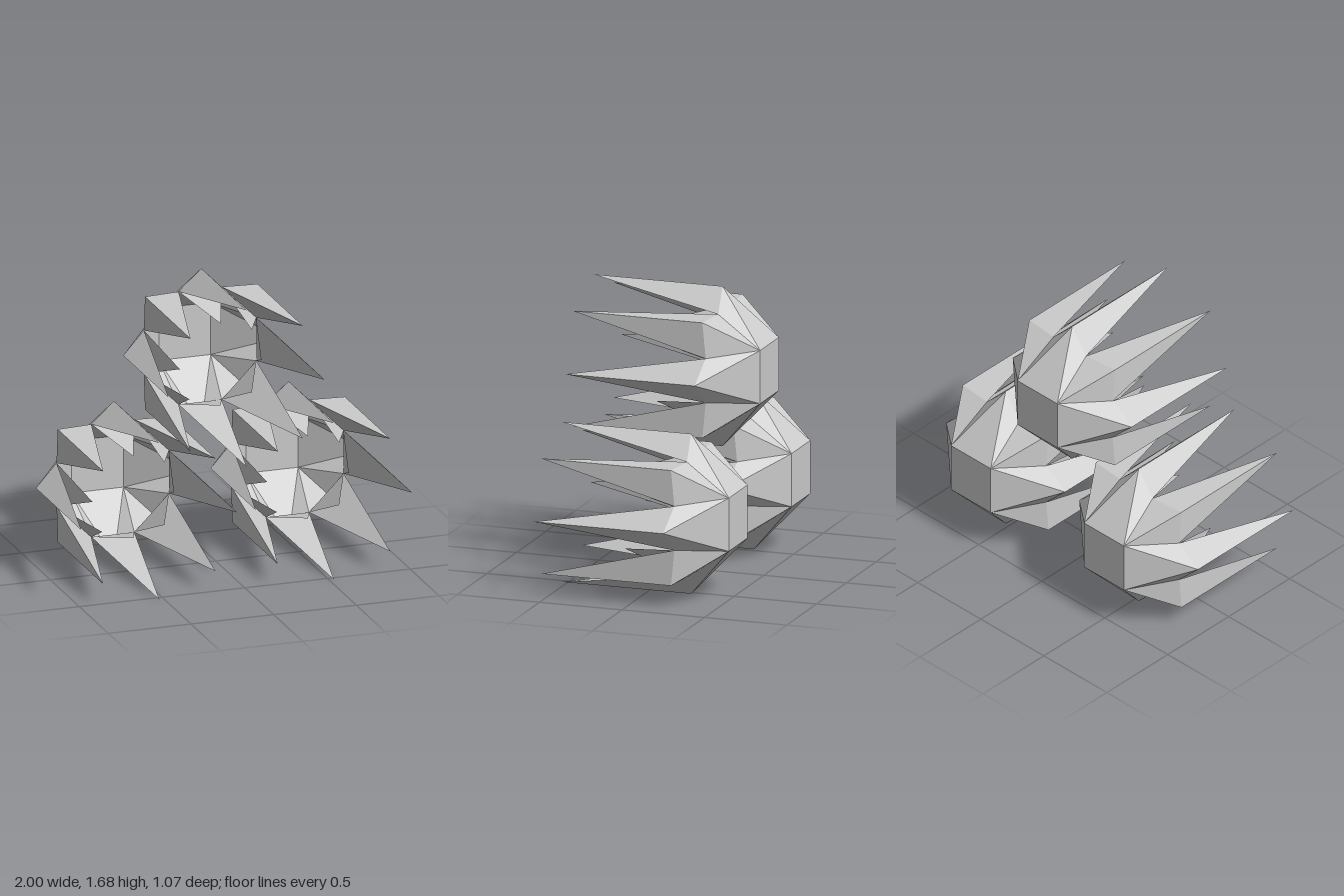
import * as THREE from 'three';

const material = new THREE.MeshStandardMaterial({ color: 0xcccccc, flatShading: true, side: THREE.DoubleSide });

// Key points of one quarter of a spiky cup that opens toward +z
const P = {
  baseL: [-0.157, 0.157, -0.535], baseR: [0.157, 0.157, -0.535],
  valleyL: [-0.13, 0.34, -0.27], valleyR: [0.13, 0.34, -0.27], valleyN: [0.34, 0.13, -0.27],
  ridge: [0, 0.472, -0.25], ridgeTip: [0, 0.472, 0.535],
  corner: [0.34, 0.34, -0.25], cornerTip: [0.34, 0.34, 0.535],
  innerTip: [0, 0.247, 0.085], innerCornerTip: [0.188, 0.188, 0.085],
};

const SHELL = [
  ['baseR', 'baseL', 'ridge'], ['baseR', 'ridge', 'valleyR'], ['baseL', 'valleyL', 'ridge'],
  ['baseR', 'valleyR', 'corner'], ['baseR', 'corner', 'valleyN'],
];
const OUTER_SPIKES = [
  ['ridge', 'ridgeTip', 'valleyR'], ['ridge', 'valleyL', 'ridgeTip'], ['ridgeTip', 'valleyL', 'valleyR'],
  ['corner', 'valleyR', 'cornerTip'], ['corner', 'cornerTip', 'valleyN'], ['cornerTip', 'valleyR', 'valleyN'],
];
const INNER_SPIKES = [
  ['valleyR', 'valleyL', 'innerTip'], ['valleyN', 'valleyR', 'innerCornerTip'],
];

// Repeats the quarter's triangles four times around z
function radialMesh(name, faces) {
  const positions = [];
  for (let q = 0; q < 4; q++) {
    for (const face of faces) {
      for (const key of face) {
        let [x, y, z] = P[key];
        for (let i = 0; i < q; i++) [x, y] = [y, -x];
        positions.push(x, y, z);
      }
    }
  }
  const geometry = new THREE.BufferGeometry();
  geometry.setAttribute('position', new THREE.Float32BufferAttribute(positions, 3));
  geometry.computeVertexNormals();
  const mesh = new THREE.Mesh(geometry, material);
  mesh.name = name;
  return mesh;
}

function createCup(name, x, y) {
  const cup = new THREE.Group();
  cup.name = name;

  // Faceted bowl with its flat square back
  cup.add(radialMesh('bowl', SHELL));
  const back = new THREE.Mesh(new THREE.PlaneGeometry(0.314, 0.314), material);
  back.name = 'backPlate';
  back.rotation.y = Math.PI;
  back.position.z = -0.535;
  cup.add(back);

  // Eight long spikes and eight short inward-leaning ones
  cup.add(radialMesh('outerSpikes', OUTER_SPIKES));
  cup.add(radialMesh('innerSpikes', INNER_SPIKES));

  cup.position.set(x, y, 0);
  return cup;
}

export function createModel() {
  const model = new THREE.Group();
  model.name = 'spikyCups';
  model.add(createCup('topCup', 0, 1.214));
  model.add(createCup('leftCup', 0.528, 0.474));
  model.add(createCup('rightCup', -0.528, 0.474));
  return model;
}
